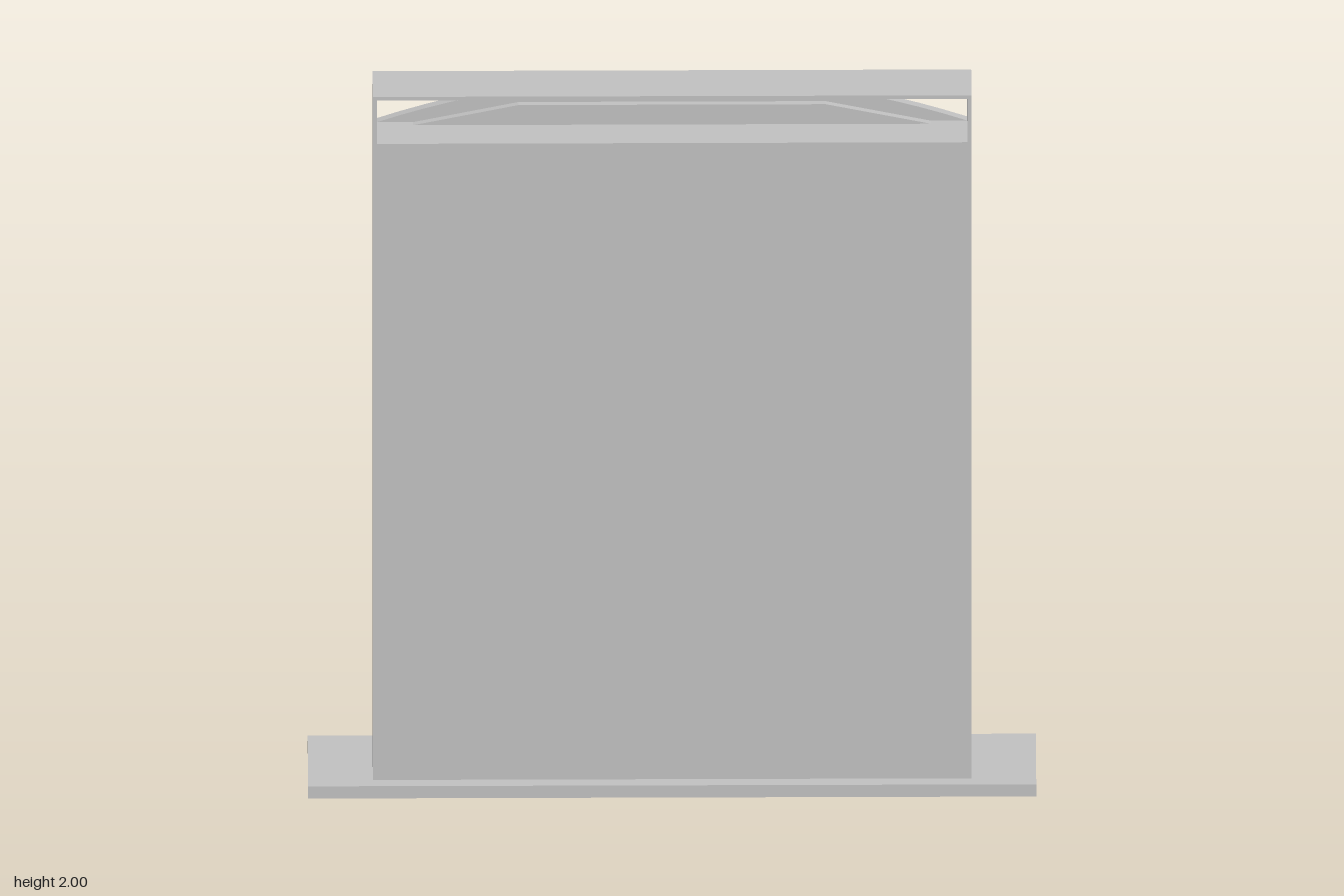
import * as THREE from 'three';

const grey = new THREE.MeshStandardMaterial({ color: 0xc0c0c0 });
grey.name = 'plain grey';

// Points on a shallow circular arch, running from +x to -x
function archPoints(half, spring, apex, n = 24) {
  const rise = apex - spring;
  const r = (half * half + rise * rise) / (2 * rise);
  const a = Math.asin(half / r);
  return Array.from({ length: n + 1 }, (_, i) => {
    const t = a - (2 * a * i) / n;
    return new THREE.Vector2(r * Math.sin(t), apex - r + r * Math.cos(t));
  });
}

export function createModel() {
  const model = new THREE.Group();
  model.name = 'doubleDoor';

  const add = (name, geometry) => {
    const mesh = new THREE.Mesh(geometry, grey);
    mesh.name = name;
    model.add(mesh);
    return mesh;
  };
  // Box given by its limits on each axis
  const box = (name, x0, x1, y0, y1, z0, z1) => {
    const g = new THREE.BoxGeometry(x1 - x0, y1 - y0, z1 - z0);
    g.translate((x0 + x1) / 2, (y0 + y1) / 2, (z0 + z1) / 2);
    return add(name, g);
  };
  const plate = (name, points, z0, z1) => {
    const g = new THREE.ExtrudeGeometry(new THREE.Shape(points), { depth: z1 - z0, bevelEnabled: false });
    g.translate(0, 0, z0);
    return add(name, g);
  };

  // Threshold slab
  box('threshold', -0.9, 0.9, 0, 0.035, -0.1, 0.145);

  // Outer casing: two side walls and a thin lid
  for (const s of [-1, 1]) {
    const wall = box('sideWall', -0.005, 0.005, 0.035, 2, -0.01, 0.115);
    wall.position.x = s * 0.735;
  }
  box('lid', -0.73, 0.73, 1.99, 2, -0.01, 0.115);

  // Door body, flat on the front
  box('doorBody', -0.73, 0.73, 0.035, 1.865, 0.083, 0.115);
  box('ledge', -0.73, 0.73, 1.845, 1.865, 0.01, 0.083);

  // Arched surround on the back, open down to the threshold
  plate('archedSurround', [
    new THREE.Vector2(0.73, 0.035),
    ...archPoints(0.73, 1.865, 1.995),
    new THREE.Vector2(-0.73, 0.035),
    new THREE.Vector2(-0.55, 0.035),
    ...archPoints(0.55, 1.74, 1.815).reverse(),
    new THREE.Vector2(0.55, 0.035),
  ], -0.01, 0.01);

  // Low cap with sloping ends above the ledge
  plate('cap', [[0.64, 1.865], [0.38, 1.922], [-0.38, 1.922], [-0.64, 1.865]]
    .map(([x, y]) => new THREE.Vector2(x, y)), 0.01, 0.025);

  // Raised panels: boxes whose rear face is drawn in to form bevels
  const panel = (name, x0, x1, y0, y1) => {
    const w = x1 - x0, h = y1 - y0, bevel = 0.025;
    const g = new THREE.BoxGeometry(w, h, 0.018).toNonIndexed();
    const p = g.attributes.position;
    for (let i = 0; i < p.count; i++) {
      if (p.getZ(i) < 0) {
        p.setX(i, p.getX(i) * (1 - (2 * bevel) / w));
        p.setY(i, p.getY(i) * (1 - (2 * bevel) / h));
      }
    }
    g.computeVertexNormals();
    g.translate((x0 + x1) / 2, (y0 + y1) / 2, 0.075);
    add(name, g);
  };
  for (const s of [-1, 1]) {
    const [x0, x1] = s > 0 ? [0.065, 0.66] : [-0.66, -0.065];
    panel('upperPanel', x0, x1, 0.675, 1.755);
    panel('lowerPanel', x0, x1, 0.055, 0.535);
  }

  // Strip covering the joint between the two leaves
  box('centreStrip', -0.02, 0.02, 0.035, 1.845, 0.068, 0.083);

  // Round knob on a short neck
  const knob = add('knob', new THREE.LatheGeometry(
    [[0, 0], [0.012, 0], [0.012, 0.014], [0.022, 0.02], [0.025, 0.028], [0.02, 0.036], [0, 0.04]]
      .map(([r, y]) => new THREE.Vector2(r, y)), 16));
  knob.rotation.x = -Math.PI / 2;
  knob.position.set(-0.085, 0.64, 0.083);

  // Bent guards at the foot of each jamb, made of straight rods
  const rod = (name, a, b, r) => {
    const dir = b.clone().sub(a);
    const mesh = add(name, new THREE.CylinderGeometry(r, r, dir.length(), 12));
    mesh.position.copy(a).add(b).multiplyScalar(0.5);
    mesh.quaternion.setFromUnitVectors(new THREE.Vector3(0, 1, 0), dir.normalize());
  };
  const bends = [[0.035, -0.127], [0.175, -0.127], [0.185, -0.125], [0.305, -0.081], [0.362, -0.01]];
  for (const s of [-1, 1]) {
    const pts = bends.map(([y, z]) => new THREE.Vector3(s * 0.715, y, z));
    for (let i = 0; i < pts.length - 1; i++) rod('jambGuard', pts[i], pts[i + 1], i === 0 ? 0.018 : 0.016);
  }

  return model;
}
